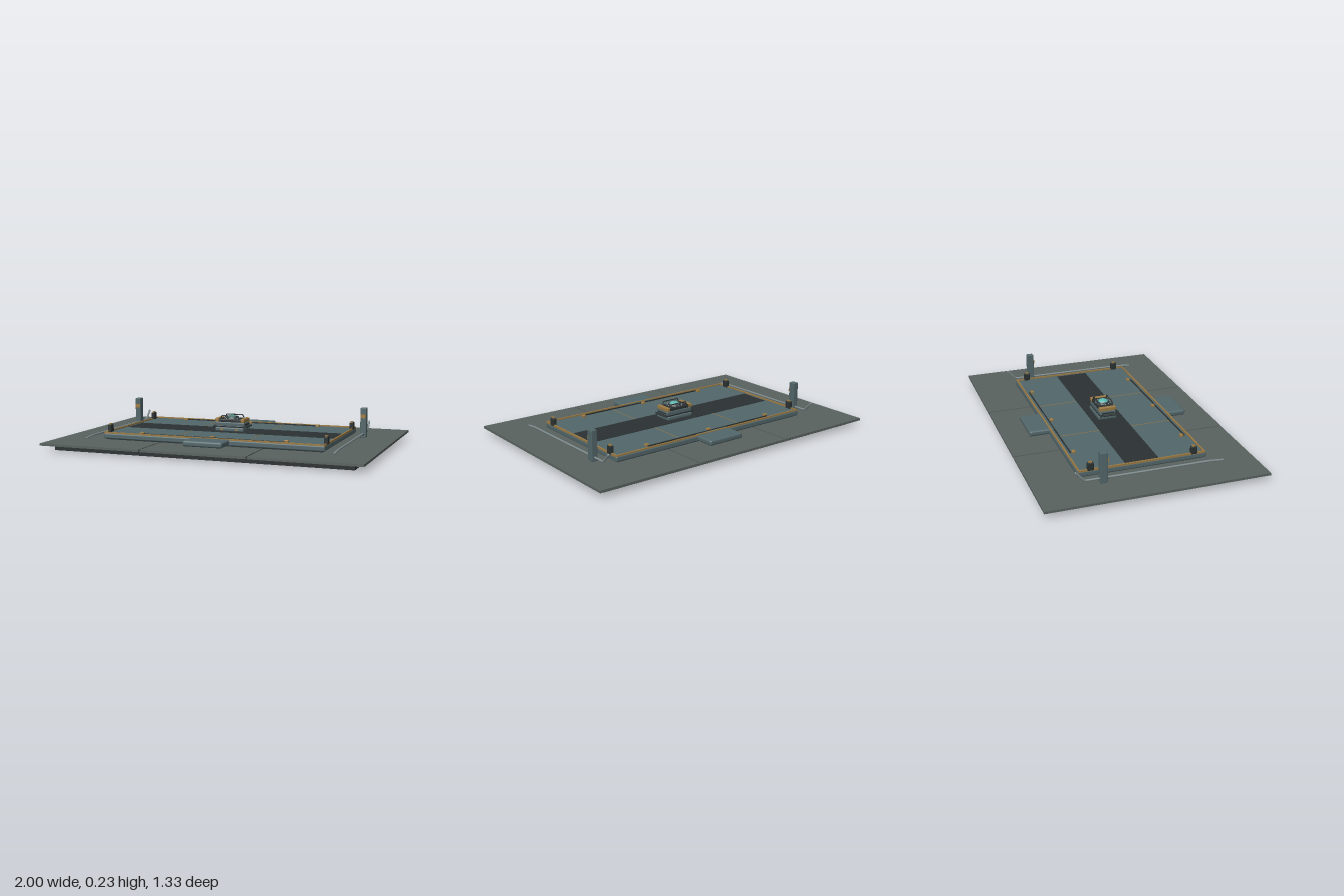
import * as THREE from 'three';
import { RoundedBoxGeometry } from 'three/addons/geometries/RoundedBoxGeometry.js';

const mat = (color) => new THREE.MeshStandardMaterial({ color });

export function createModel() {
  const root = new THREE.Group();
  const floor = mat(0x59625f), steel = mat(0x52666a), dark = mat(0x2b3132);
  const gold = mat(0x9c7a42), teal = mat(0x5cb8b0), pale = mat(0x7d8a8c);

  const add = (name, geo, m, x, y, z, parent = root) => {
    const mesh = new THREE.Mesh(geo, m);
    mesh.name = name;
    mesh.position.set(x, y, z);
    parent.add(mesh);
    return mesh;
  };
  // Box given by its centre in x and z, and its bottom and top heights
  const box = (name, m, x, z, w, d, y0, y1, parent, r = 0) => add(name,
    r ? new RoundedBoxGeometry(w, y1 - y0, d, 3, r) : new THREE.BoxGeometry(w, y1 - y0, d),
    m, x, (y0 + y1) / 2, z, parent);
  const group = (name) => {
    const g = new THREE.Group();
    g.name = name;
    root.add(g);
    return g;
  };

  // Plinth and three floor panels with open joints
  box('plinth', dark, 0, 0, 1.87, 1.2, 0, 0.034);
  for (const i of [-1, 0, 1]) {
    box('floorPanel', floor, i * 0.6685, 0, i ? 0.663 : 0.656, 1.334, 0.034, 0.048);
  }

  // Raised platform with a dark runner
  box('platformFoot', dark, 0, 0, 1.39, 0.75, 0.046, 0.058);
  box('platform', steel, 0, 0, 1.42, 0.784, 0.054, 0.087, root, 0.008);
  box('runner', dark, 0, 0, 1.37, 0.205, 0.085, 0.089);
  for (const s of [-1, 1]) {
    box('platformSeam', gold, s * 0.233, 0, 0.004, 0.72, 0.085, 0.0882);
    box('trimLong', gold, 0, s * 0.383, 1.416, 0.009, 0.083, 0.095);
    box('trimShort', gold, s * 0.704, 0, 0.009, 0.766, 0.083, 0.095);
    box('edgeRail', dark, 0, s * 0.359, 0.93, 0.006, 0.086, 0.094);
    box('step', steel, 0, s * 0.433, 0.25, 0.16, 0.056, 0.091, root, 0.012);
    for (const x of [-0.465, 0, 0.465]) {
      box('clip', gold, x, s * 0.34, 0.026, 0.02, 0.085, 0.1, root, 0.003);
    }
    for (const x of [-0.35, -0.175, 0.175, 0.35]) {
      add('rivet', new THREE.CylinderGeometry(0.005, 0.005, 0.006, 10), gold, x, 0.094, s * 0.383);
    }
  }

  // Corner bollards with gold caps
  for (const sx of [-1, 1]) for (const sz of [-1, 1]) {
    const g = group('cornerBollard');
    box('bollardBody', dark, sx * 0.7, sz * 0.315, 0.024, 0.038, 0.086, 0.133, g, 0.004);
    box('bollardCap', gold, sx * 0.7, sz * 0.315, 0.014, 0.02, 0.131, 0.14, g);
  }

  // Side pillars and bent guide rods
  for (const s of [-1, 1]) {
    const x = s * 0.787, g = group('sidePillar');
    box('pillar', steel, x, -0.267, 0.038, 0.044, 0.048, 0.235, g, 0.004);
    box('pillarBand', gold, x, -0.243, 0.034, 0.007, 0.172, 0.195, g);
    const bolt = add('pillarBolt', new THREE.CylinderGeometry(0.008, 0.008, 0.006, 12), dark, x, 0.068, -0.243, g);
    bolt.rotation.x = Math.PI / 2;
    const rod = new THREE.CurvePath();
    const pts = [[0.063, 0.465], [0.07, 0.38], [0.073, -0.375], [0.128, -0.427]]
      .map(([y, z]) => new THREE.Vector3(x, y, z));
    for (let i = 0; i < 3; i++) rod.add(new THREE.LineCurve3(pts[i], pts[i + 1]));
    add('guideRod', new THREE.TubeGeometry(rod, 80, 0.0065, 8), pale, 0, 0, 0);
    for (const p of [pts[0], pts[3]]) {
      add('rodTip', new THREE.SphereGeometry(0.0065, 8, 6), pale, p.x, p.y, p.z);
    }
  }

  // Central console
  const c = group('console');
  box('consoleBase', steel, 0, 0, 0.19, 0.122, 0.087, 0.113, c, 0.008);
  box('consoleFlange', dark, 0, 0, 0.226, 0.112, 0.114, 0.123, c, 0.004);
  box('consoleBody', steel, 0, 0, 0.196, 0.106, 0.108, 0.147, c, 0.008);
  box('consoleTop', dark, 0, 0, 0.18, 0.1, 0.143, 0.165, c, 0.006);
  for (const s of [-1, 1]) {
    box('consoleGrip', gold, s * 0.085, 0, 0.024, 0.108, 0.145, 0.169, c, 0.004);
    box('sideSlot', dark, s * 0.097, 0, 0.006, 0.08, 0.128, 0.135, c);
    box('lowerTab', gold, s * 0.05, 0.061, 0.02, 0.006, 0.094, 0.104, c);
    // Guard hoop along each long side
    const bar = (name, x, y, len, rot) => {
      const m = add(name, new THREE.CylinderGeometry(0.0035, 0.0035, len, 8), dark, x, y, s * 0.043, c);
      m.rotation.z = rot;
    };
    bar('hoopBar', 0, 0.185, 0.11, Math.PI / 2);
    for (const k of [-1, 1]) bar('hoopLeg', k * 0.06, 0.173, 0.027, k * 0.45);
  }

  // Domed lamp in a studded ring
  add('lampCollar', new THREE.CylinderGeometry(0.036, 0.044, 0.012, 28), dark, 0, 0.168, 0, c);
  const dome = add('lampDome', new THREE.SphereGeometry(0.031, 28, 10, 0, Math.PI * 2, 0, Math.PI / 2), teal, 0, 0.172, 0, c);
  dome.scale.y = 0.5;
  const ring = add('lampRing', new THREE.TorusGeometry(0.034, 0.003, 8, 28), steel, 0, 0.174, 0, c);
  ring.rotation.x = Math.PI / 2;
  for (let i = 0; i < 12; i++) {
    const a = i * Math.PI / 6;
    add('ringStud', new THREE.SphereGeometry(0.0045, 8, 6), pale, Math.cos(a) * 0.048, 0.167, Math.sin(a) * 0.046, c);
  }
  return root;
}
